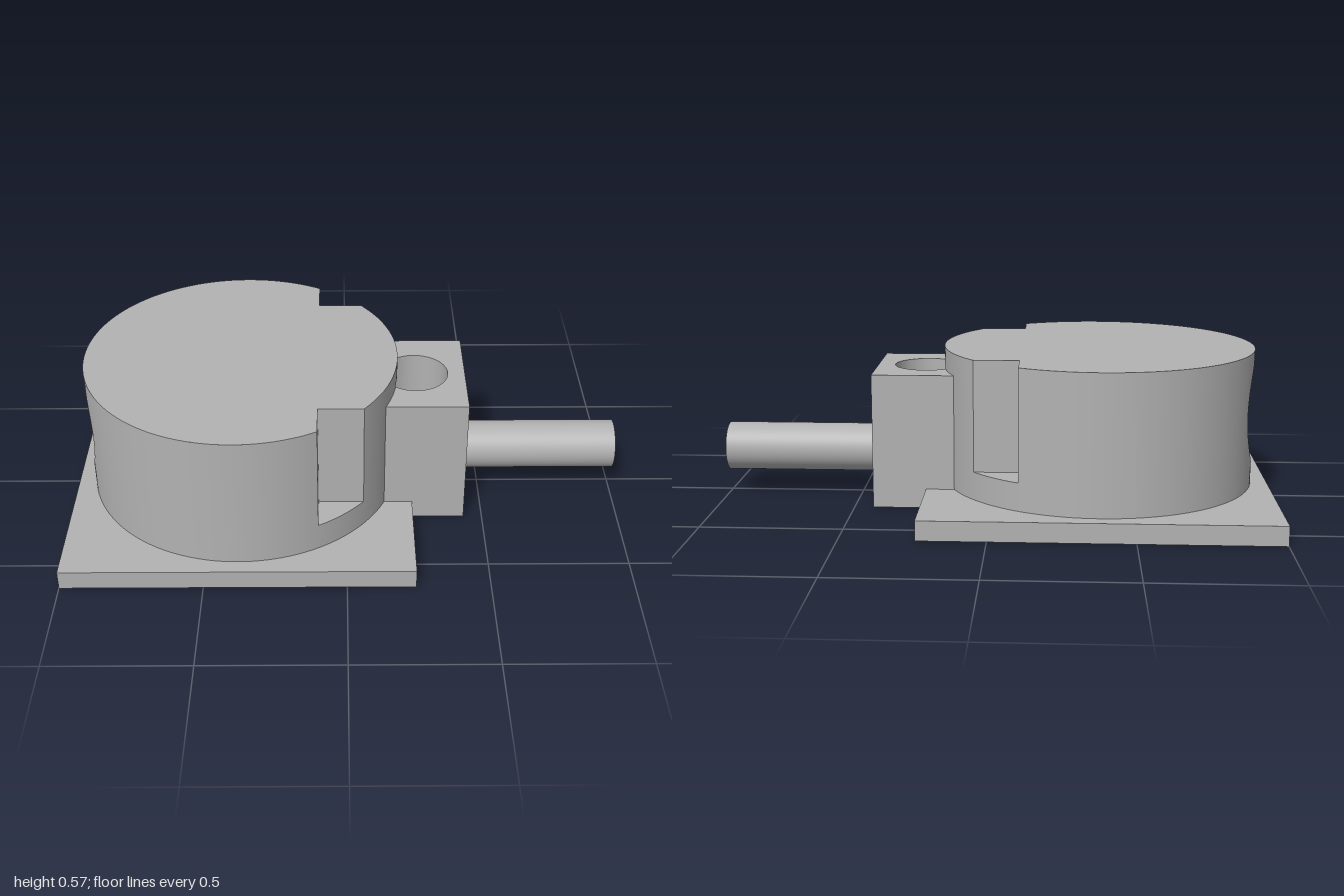
import * as THREE from 'three';

export function createModel() {
  const model = new THREE.Group();
  const grey = new THREE.MeshStandardMaterial({ color: 0xb2b2b2, side: THREE.DoubleSide });
  const add = (name, geometry) => {
    const mesh = new THREE.Mesh(geometry, grey);
    mesh.name = name;
    model.add(mesh);
    return mesh;
  };

  // Smooth surface from a rule f(u, v) -> [x, y, z]
  const grid = (f, nu, nv) => {
    const pos = [], idx = [];
    for (let i = 0; i <= nu; i++) for (let j = 0; j <= nv; j++) pos.push(...f(i / nu, j / nv));
    for (let i = 0; i < nu; i++) for (let j = 0; j < nv; j++) {
      const a = i * (nv + 1) + j, b = a + nv + 1;
      idx.push(a, a + 1, b, b, a + 1, b + 1);
    }
    const g = new THREE.BufferGeometry();
    g.setAttribute('position', new THREE.Float32BufferAttribute(pos, 3));
    g.setIndex(idx);
    g.computeVertexNormals();
    return g;
  };
  // Upright wall along an arc around (cx, 0)
  const arcWall = (cx, r, a0, a1, y0, y1, n = 32) => grid((u, v) => {
    const a = a0 + (a1 - a0) * u;
    return [cx + r * Math.cos(a), y0 + (y1 - y0) * v, r * Math.sin(a)];
  }, n, 1);
  // Upright straight wall
  const flatWall = (x0, z0, x1, z1, y0, y1) => grid((u, v) =>
    [x0 + (x1 - x0) * u, y0 + (y1 - y0) * v, z0 + (z1 - z0) * u], 1, 1);
  // Horizontal and x-facing plates
  const level = (shape, y) => new THREE.ShapeGeometry(shape, 48).rotateX(-Math.PI / 2).translate(0, y, 0);
  const facing = (shape, x) => new THREE.ShapeGeometry(shape, 32).rotateY(Math.PI / 2).translate(x, 0, 0);
  const circle = (x, y, r) => new THREE.Path().absarc(x, y, r, 0, Math.PI * 2, true);
  const disc = (x, y, r, hole) => {
    const s = new THREE.Shape().absarc(x, y, r, 0, Math.PI * 2);
    if (hole) s.holes.push(circle(x, y, hole));
    return s;
  };
  const rect = (x0, y0, x1, y1) => new THREE.Shape(
    [[x0, y0], [x1, y0], [x1, y1], [x0, y1]].map(p => new THREE.Vector2(...p)));
  // Curved wall patch with a round hole through it along x
  const holedPatch = (cx, R, side, h, y0, y1, yc, r) => grid((u, v) => {
    const s = Math.min(3, Math.floor(u * 4)), k = u * 4 - s;
    const [z, y] = [
      [-h + 2 * h * k, y0], [h, y0 + (y1 - y0) * k],
      [h - 2 * h * k, y1], [-h, y1 - (y1 - y0) * k]][s];
    const a = Math.atan2(y - yc, z);
    const zz = r * Math.cos(a) * (1 - v) + z * v;
    const yy = (yc + r * Math.sin(a)) * (1 - v) + y * v;
    return [cx + side * Math.sqrt(R * R - zz * zz), yy, zz];
  }, 96, 10);
  // Round wall along x, from a curved surface to a flat end
  const boreWall = (cx, R, side, yc, r, xEnd) => grid((u, v) => {
    const a = u * Math.PI * 2, z = r * Math.cos(a);
    const x0 = cx + side * Math.sqrt(R * R - z * z);
    return [x0 + (xEnd - x0) * v, yc + r * Math.sin(a), z];
  }, 64, 1);

  // Drum, notch and well dimensions
  const C = -0.38, R = 0.565, Y0 = 0.07, Y1 = 0.567;
  const notchX = -0.1, notchZ = 0.355, notchY = 0.17;
  const n1 = Math.asin(notchZ / R), n2 = Math.acos((notchX - C) / R);
  const patchZ = 0.3, p = Math.PI - Math.asin(patchZ / R);
  const W = 0.25, wr = 0.12, wellY = 0.08, wellTop = 0.5, blockTop = 0.487;
  const d = W - C, th = Math.acos((R * R + d * d - wr * wr) / (2 * d * R));
  const ph = Math.atan2(R * Math.sin(th), C + R * Math.cos(th) - W);
  const boreY = 0.17, boreR = 0.042, boreZ = 0.08, pa = Math.asin(boreZ / wr);

  // Base plate
  add('basePlate', new THREE.BoxGeometry(1.24, 0.07, 1.24)).position.set(-0.38, 0.035, 0);

  // Drum top, with two corner notches
  const top = new THREE.Shape();
  top.absarc(C, 0, R, -n1, n1);
  top.lineTo(notchX, notchZ);
  top.absarc(C, 0, R, n2, Math.PI * 2 - n2);
  top.lineTo(notchX, -notchZ);
  add('drumTop', level(top, Y1));

  // Drum wall and notches, mirrored in z
  for (const s of [1, -1]) {
    add('drumWall', arcWall(C, R, s * th, s * n1, Y0, Y1));
    add('drumWall', arcWall(C, R, s * n1, s * n2, Y0, notchY));
    add('drumWall', arcWall(C, R, s * n2, s * p, Y0, Y1, 48));
    const xe = C + R * Math.cos(n1), ze = R * Math.sin(n2);
    add('notchWall', flatWall(notchX, s * notchZ, xe, s * notchZ, notchY, Y1));
    add('notchWall', flatWall(notchX, s * notchZ, notchX, s * ze, notchY, Y1));
    const floor = new THREE.Shape().moveTo(notchX, s * notchZ);
    floor.lineTo(xe, s * notchZ);
    floor.absarc(C, 0, R, s * n1, s * n2, s < 0);
    add('notchFloor', level(floor, notchY));
    add('wellWall', arcWall(W, wr, s * pa, s * ph, wellY, blockTop));
  }
  add('drumWall', arcWall(C, R, -th, th, wellTop, Y1));

  // Round side pocket with a small central hole
  const pocketY = 0.345, pocketR = 0.21, pocketX = -0.815, pinR = 0.027;
  add('drumWall', holedPatch(C, R, -1, patchZ, Y0, Y1, pocketY, pocketR));
  add('pocketWall', boreWall(C, R, -1, pocketY, pocketR, pocketX));
  add('pocketFloor', facing(disc(0, pocketY, pocketR, pinR), pocketX));
  const pin = add('pocketHole', new THREE.CylinderGeometry(pinR, pinR, 0.3, 24, 1, true));
  pin.rotation.z = Math.PI / 2;
  pin.position.set(pocketX + 0.15, pocketY, 0);

  // Outlet block
  const bx0 = 0.1, bx1 = 0.432, bz = 0.226;
  const blockPlan = rect(bx0, -bz, bx1, bz);
  blockPlan.holes.push(circle(W, 0, wr));
  add('blockTop', level(blockPlan, blockTop));
  add('blockBottom', level(rect(0.24, -bz, bx1, bz), 0));
  for (const s of [1, -1]) add('blockSide', flatWall(bx0, s * bz, bx1, s * bz, 0, blockTop));
  const front = rect(-bz, 0, bz, blockTop);
  front.holes.push(circle(0, boreY, boreR));
  add('blockFront', facing(front, bx1));

  // Vertical well in the block, cutting slightly into the drum
  add('wellWall', arcWall(W, wr, ph, Math.PI * 2 - ph, wellY, wellTop, 48));
  add('wellWall', holedPatch(W, wr, 1, boreZ, wellY, blockTop, boreY, boreR));
  add('wellFloor', level(disc(W, 0, wr), wellY));
  const lens = new THREE.Shape();
  lens.absarc(C, 0, R, -th, th);
  lens.absarc(W, 0, wr, ph, Math.PI * 2 - ph);
  add('wellCeiling', level(lens, wellTop));

  // Outlet pipe and its bore
  const pipeR = 0.089;
  const pipe = add('pipe', new THREE.CylinderGeometry(pipeR, pipeR, 1 - bx1, 48, 1, true));
  pipe.rotation.z = Math.PI / 2;
  pipe.position.set((1 + bx1) / 2, boreY, 0);
  add('pipeEnd', facing(disc(0, boreY, pipeR, boreR), 1));
  add('pipeBore', boreWall(W, wr, 1, boreY, boreR, 1));

  return model;
}
